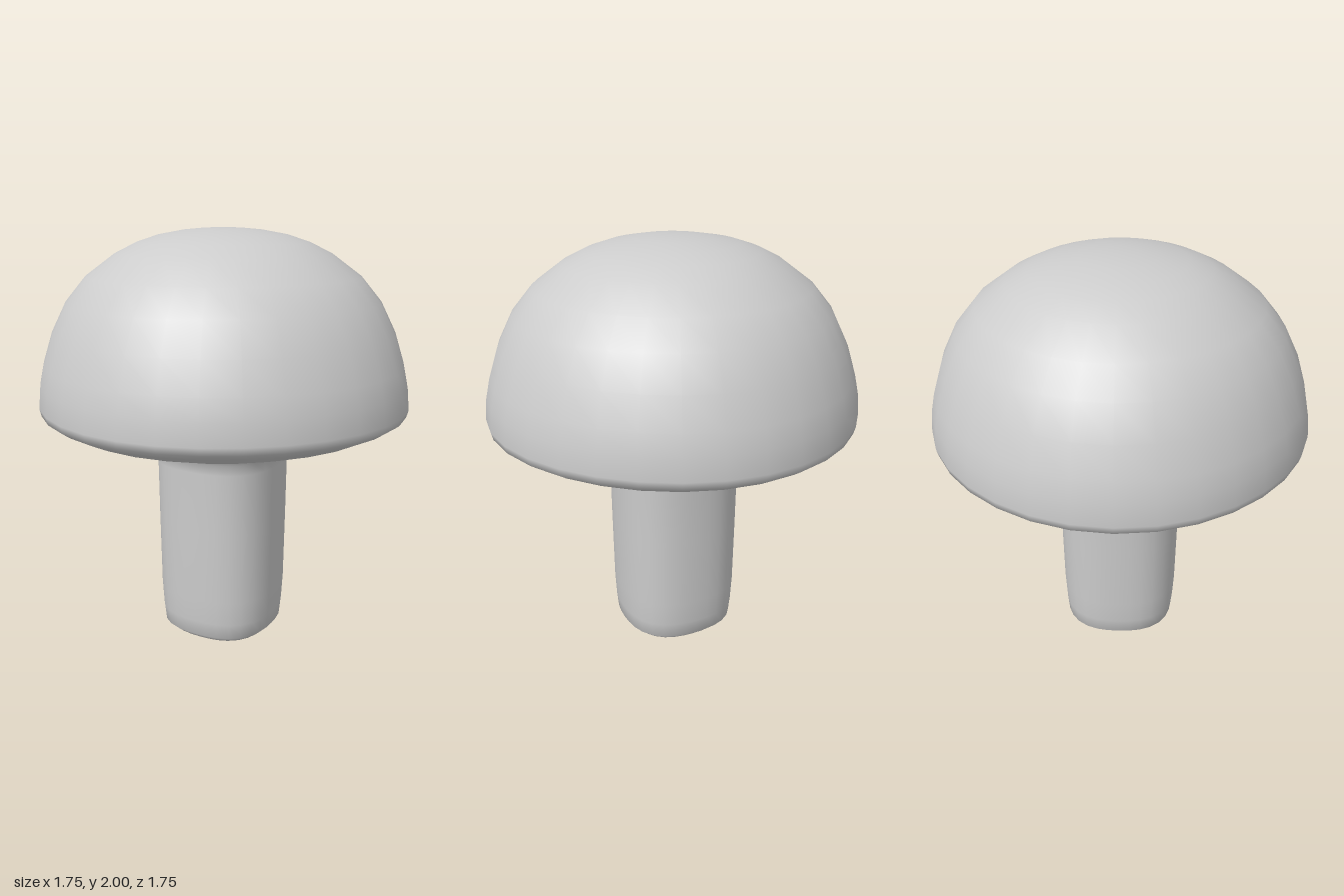
import * as THREE from 'three';
import { mergeVertices } from 'three/addons/utils/BufferGeometryUtils.js';

// Turned shape whose radius on the diagonals is scaled by (1 + diagonal(y))
function turned(profile, diagonal) {
  const geo = new THREE.LatheGeometry(profile.map(([r, y]) => new THREE.Vector2(r, y)), 32);
  geo.deleteAttribute('uv');
  geo.deleteAttribute('normal');
  const p = geo.attributes.position;
  for (let i = 0; i < p.count; i++) {
    const x = p.getX(i), z = p.getZ(i);
    const s = Math.sin(2 * Math.atan2(z, x));
    const k = 1 + diagonal(p.getY(i)) * s * s;
    p.setXYZ(i, x * k, p.getY(i), z * k);
  }
  const welded = mergeVertices(geo, 1e-4);
  welded.computeVertexNormals();
  return welded;
}

export function createModel() {
  const group = new THREE.Group();
  const grey = new THREE.MeshStandardMaterial({ color: 0xcccccc });
  grey.name = 'light grey';

  const add = (name, geometry) => {
    const mesh = new THREE.Mesh(geometry, grey);
    mesh.name = name;
    group.add(mesh);
  };

  // Stem: slightly squared-off column with a rounded foot, flaring under the cap
  add('stem', turned([
    [0, 0], [0.12, 0.005], [0.23, 0.015], [0.265, 0.025], [0.3, 0.055], [0.308, 0.13], [0.315, 0.25],
    [0.32, 0.6], [0.323, 0.9], [0.328, 0.95], [0.35, 0.985], [0.385, 1.02], [0.45, 1.034],
  ], (y) => -0.07 * THREE.MathUtils.clamp((1.034 - y) / 0.08, 0, 1)));

  // Cap: shallow underside, rounded rim and dome
  add('cap', turned([
    [0.45, 1.034], [0.54, 1.045], [0.63, 1.06], [0.75, 1.1], [0.83, 1.14], [0.866, 1.165], [0.875, 1.2],
    [0.865, 1.3], [0.845, 1.39], [0.8, 1.53], [0.73, 1.67], [0.635, 1.785], [0.5, 1.885],
    [0.4, 1.935], [0.3, 1.968], [0.18, 1.99], [0.09, 1.998], [0, 2],
  ], (y) => 0.012 * THREE.MathUtils.clamp((y - 1.034) / 0.1, 0, 1)));

  return group;
}
